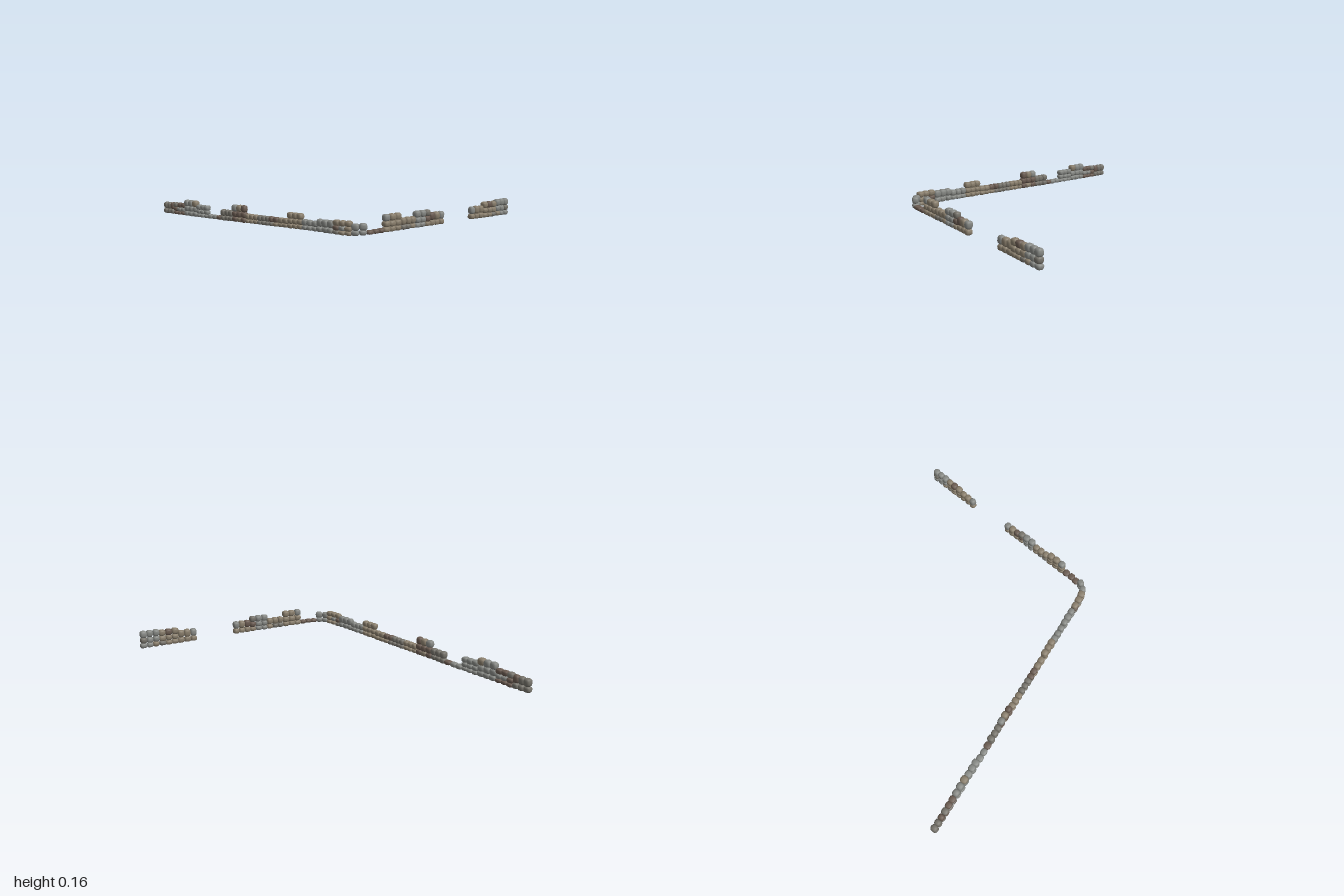
import * as THREE from 'three';
import { mergeVertices } from 'three/addons/utils/BufferGeometryUtils.js';

// plan line of the wall: x, z, ground height
const PATH = [
  [-0.99, -0.37, 0.003], [-0.6, -0.127, 0.022], [0, 0.248, 0.058], [0.2, 0.373, 0.066],
  [0.235, 0.391, 0.068], [0.27, 0.397, 0.07], [0.31, 0.383, 0.072], [0.35, 0.34, 0.073], [0.65, -0.01, 0.065],
  [0.785, -0.182, 0.06], [0.985, -0.412, 0.054],
];

// sections: x start, x end, top height, main colour index
const SECTIONS = [
  [-0.99, -0.91, 0.07, 1], [-0.91, -0.825, 0.077, 3], [-0.825, -0.73, 0.103, 0], [-0.73, -0.645, 0.087, 0],
  [-0.645, -0.55, 0.045, 0], [-0.55, -0.47, 0.086, 1], [-0.47, -0.38, 0.124, 3], [-0.38, -0.3, 0.086, 2],
  [-0.3, -0.2, 0.091, 1], [-0.2, -0.11, 0.096, 2], [-0.11, -0.025, 0.134, 2], [-0.025, 0.06, 0.11, 0],
  [0.06, 0.15, 0.125, 0], [0.15, 0.245, 0.136, 2], [0.245, 0.315, 0.128, 0],
  [0.315, 0.383, 0.092, 3], [0.383, 0.456, 0.157, 2], [0.456, 0.52, 0.127, 2],
  [0.52, 0.588, 0.15, 0], [0.588, 0.652, 0.131, 2],
  [0.787, 0.853, 0.125, 2], [0.853, 0.92, 0.14, 2], [0.92, 0.985, 0.144, 0],
];
const THICKNESS = 0.036;

// small seeded generator
let seed = 7;
const rand = () => {
  seed = (seed * 16807) % 2147483647;
  return seed / 2147483647;
};
const vary = (a) => (rand() * 2 - 1) * a;

function pathAt(x) {
  let i = 0;
  while (i < PATH.length - 2 && x > PATH[i + 1][0]) i++;
  const [a, b] = [PATH[i], PATH[i + 1]];
  const t = (x - a[0]) / (b[0] - a[0]);
  return {
    z: a[1] + (b[1] - a[1]) * t,
    y: a[2] + (b[2] - a[2]) * t,
    yaw: -Math.atan2(b[1] - a[1], b[0] - a[0]),
  };
}

// rounded, slightly irregular block filling a unit cube
function stoneGeometry() {
  let g = new THREE.IcosahedronGeometry(1, 2);
  g.deleteAttribute('normal');
  g.deleteAttribute('uv');
  g = mergeVertices(g, 1e-4);
  const p = g.attributes.position;
  const [k1, k2, k3] = [vary(0.12), vary(0.1), vary(0.12)];
  const soft = (v) => Math.sign(v) * Math.pow(Math.abs(v), 0.72) * 0.5;
  for (let i = 0; i < p.count; i++) {
    const [x, y, z] = [soft(p.getX(i)), soft(p.getY(i)), soft(p.getZ(i))];
    const bump = 1 + vary(0.025);
    p.setXYZ(i, x * (1 + k1 * y) * bump, y * (1 + k2 * x) * bump, z * (1 + k3 * y) * bump);
  }
  g.computeVertexNormals();
  return g;
}

export function createModel() {
  seed = 7;
  const wall = new THREE.Group();
  wall.name = 'dryStoneWall';
  const stones = Array.from({ length: 6 }, stoneGeometry);
  const materials = [0x858783, 0x75726a, 0x887d6b, 0x695a50]
    .map((color) => new THREE.MeshStandardMaterial({ color }));

  SECTIONS.forEach(([x0, x1, top, tint], s) => {
    const section = new THREE.Group();
    section.name = `wallSection${s + 1}`;
    const a = pathAt(x0), b = pathAt(x1);
    const length = Math.hypot(x1 - x0, b.z - a.z);
    const columns = Math.max(2, Math.round(length / 0.033));
    const height = top - (a.y + b.y) / 2;
    const rows = Math.max(1, Math.round(height / 0.027));

    // flatter courses at the foot, taller stones on top
    const weights = Array.from({ length: rows }, (_, r) => 0.85 + 0.3 * r / Math.max(1, rows - 1));
    const total = weights.reduce((m, w) => m + w, 0);

    for (let c = 0; c < columns; c++) {
      const x = x0 + (x1 - x0) * (c + 0.5) / columns;
      const at = pathAt(x);
      let y = at.y;
      for (let r = 0; r < rows; r++) {
        const h = (height * weights[r]) / total;
        const other = rand() < 0.25 ? Math.floor(rand() * 4) : tint;
        const stone = new THREE.Mesh(stones[Math.floor(rand() * stones.length)], materials[other]);
        stone.name = r === 0 ? 'footingStone' : r === rows - 1 ? 'copingStone' : 'courseStone';
        stone.scale.set((length / columns) * (1.07 + vary(0.06)), h * (1.08 + vary(0.04)), THICKNESS * (1 + vary(0.08)));
        stone.position.set(x + vary(0.001), y + h / 2, at.z + vary(0.001));
        stone.rotation.set(vary(0.05), at.yaw + vary(0.08), vary(0.05));
        section.add(stone);
        y += h;
      }
    }
    wall.add(section);
  });
  return wall;
}
